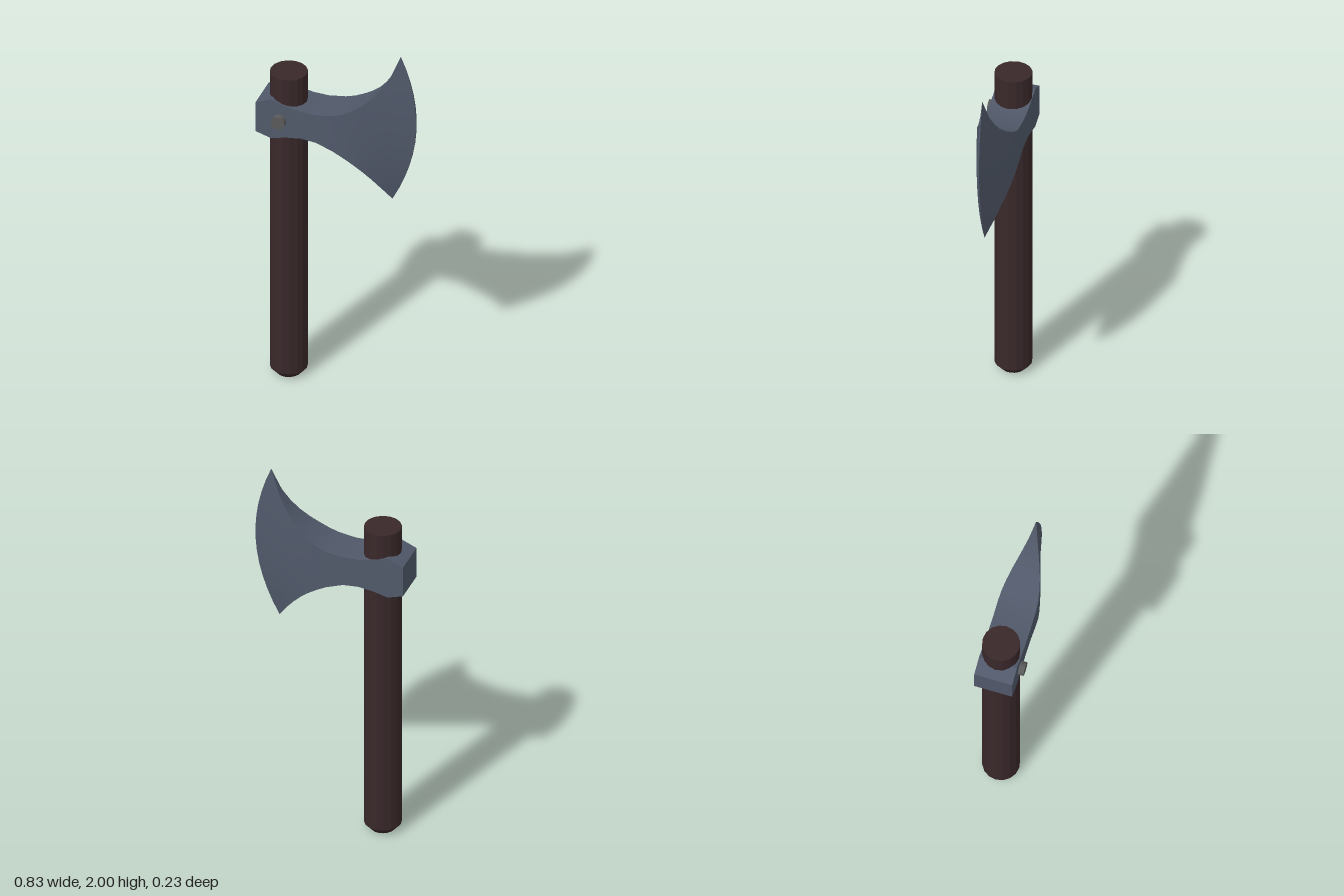
import * as THREE from 'three';
import { toCreasedNormals } from 'three/addons/utils/BufferGeometryUtils.js';

const WOOD = new THREE.MeshStandardMaterial({ color: 0x39282a, flatShading: true });
const STEEL = new THREE.MeshStandardMaterial({ color: 0x505869 });
const PIN = new THREE.MeshStandardMaterial({ color: 0x5a5a5a });

const HANDLE_X = -0.27, HANDLE_Z = -0.017, HEAD_Z = -0.015;

// Columns from poll to cutting edge: top x, top y, bottom x, bottom y, bow, half thickness
const COLUMNS = [
  [-0.413, 1.63, -0.413, 1.46, 0, 0.1],
  [-0.33, 1.665, -0.33, 1.435, 0, 0.1],
  [-0.25, 1.64, -0.25, 1.455, 0, 0.1],
  [-0.17, 1.625, -0.17, 1.465, 0, 0.1],
  [-0.09, 1.622, -0.09, 1.458, 0, 0.1],
  [0, 1.635, 0, 1.425, 0, 0.1],
  [0.05, 1.652, 0.05, 1.397, 0.003, 0.097],
  [0.1, 1.68, 0.1, 1.362, 0.007, 0.088],
  [0.15, 1.714, 0.145, 1.322, 0.015, 0.075],
  [0.2, 1.76, 0.188, 1.276, 0.028, 0.057],
  [0.24, 1.81, 0.222, 1.234, 0.043, 0.041],
  [0.28, 1.875, 0.25, 1.195, 0.065, 0.023],
  [0.33, 2, 0.285, 1.145, 0.104, 0.005],
];

function headGeometry() {
  const rows = 12, ring = 2 * (rows + 1), last = COLUMNS.length - 1;
  const pos = [], index = [];
  const quad = (a, b, c, d) => index.push(a, b, c, a, c, d);

  COLUMNS.forEach(([tx, ty, bx, by, bow, half], i) => {
    for (let k = 0; k < ring; k++) {
      const front = k <= rows;
      const v = (front ? k : ring - 1 - k) / rows;
      const x = bx + (tx - bx) * v + bow * 4 * v * (1 - v);
      // the cutting edge closes to a point at both horns
      const thick = i === last ? half * 4 * v * (1 - v) + 0.0005 : half;
      pos.push(x, by + (ty - by) * v, HEAD_Z + (front ? thick : -thick));
    }
  });

  // skin between neighbouring columns
  for (let i = 0; i < last; i++) {
    for (let k = 0; k < ring; k++) {
      const n = (k + 1) % ring, a = i * ring, b = a + ring;
      quad(a + k, b + k, b + n, a + n);
    }
  }
  // close the poll and the cutting edge
  for (let k = 0; k < rows; k++) {
    const f = k, b = ring - 1 - k, e = last * ring;
    quad(f, f + 1, b - 1, b);
    quad(e + f, e + b, e + b - 1, e + f + 1);
  }

  const geo = new THREE.BufferGeometry();
  geo.setAttribute('position', new THREE.Float32BufferAttribute(pos, 3));
  geo.setIndex(index);
  return toCreasedNormals(geo, 0.45);
}

function addMesh(group, name, geometry, material, x = 0, y = 0, z = 0) {
  const mesh = new THREE.Mesh(geometry, material);
  mesh.name = name;
  mesh.position.set(x, y, z);
  group.add(mesh);
  return mesh;
}

export function createModel() {
  const group = new THREE.Group();
  group.name = 'axe';

  // Round handle with a chamfered foot
  addMesh(group, 'handle', new THREE.CylinderGeometry(0.096, 0.096, 1.753, 16),
    WOOD, HANDLE_X, 0.9135, HANDLE_Z);
  addMesh(group, 'handleFoot', new THREE.CylinderGeometry(0.096, 0.062, 0.037, 16),
    WOOD, HANDLE_X, 0.0185, HANDLE_Z);

  // Head wedge, thick at the poll and thin at the flared edge
  addMesh(group, 'axeHead', headGeometry(), STEEL);

  // Pin standing out of the front cheek
  const pin = addMesh(group, 'pin', new THREE.CylinderGeometry(0.036, 0.036, 0.06, 20),
    PIN, -0.283, 1.549, 0.085);
  pin.rotation.x = Math.PI / 2;

  return group;
}
